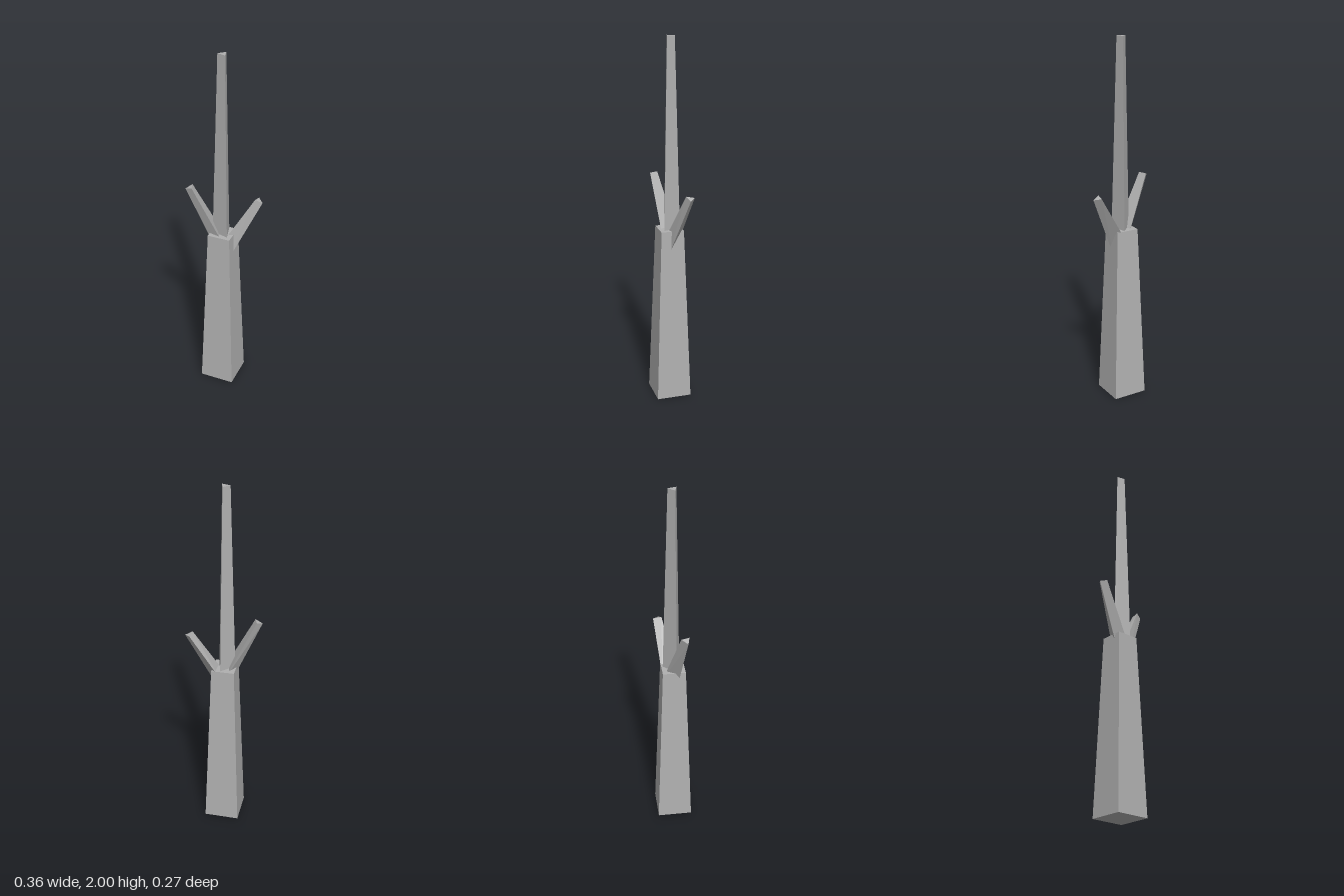
import * as THREE from 'three';
import { ConvexGeometry } from 'three/addons/geometries/ConvexGeometry.js';

const stone = new THREE.MeshStandardMaterial({ color: 0xb0b0b0 });
stone.name = 'grey';

// Tapered column with flat sides, first corner facing the front
function column(name, sides, rBottom, rTop, y0, y1) {
  const geometry = new THREE.CylinderGeometry(rTop, rBottom, y1 - y0, sides).toNonIndexed();
  geometry.computeVertexNormals();
  const mesh = new THREE.Mesh(geometry, stone);
  mesh.name = name;
  mesh.position.set(-0.004, (y0 + y1) / 2, 0);
  return mesh;
}

// Three-sided branch: each edge runs from the trunk surface to the tip,
// and is continued a little way inside the trunk
function branch(name, edges) {
  const points = [];
  for (const [from, to] of edges) {
    const root = new THREE.Vector3(...from);
    const tip = new THREE.Vector3(...to);
    points.push(tip, root.clone().lerp(tip, -0.25));
  }
  const mesh = new THREE.Mesh(new ConvexGeometry(points), stone);
  mesh.name = name;
  return mesh;
}

export function createModel() {
  const model = new THREE.Group();
  model.name = 'branchedTrunk';

  model.add(column('trunk', 4, 0.135, 0.088, 0, 0.975));
  model.add(column('spire', 3, 0.056, 0.027, 0.965, 2));

  model.add(branch('leftBranch', [
    [[0.04, 0.885, 0.055], [0.178, 1.178, 0.105]],
    [[0.07, 0.975, -0.015], [0.178, 1.187, 0.06]],
    [[0.013, 0.975, 0.035], [0.142, 1.196, 0.088]],
  ]));
  model.add(branch('rightBranch', [
    [[-0.069, 0.945, -0.025], [-0.178, 1.235, -0.097]],
    [[0, 0.975, -0.05], [-0.136, 1.25, -0.102]],
    [[-0.04, 0.975, 0.03], [-0.157, 1.25, -0.06]],
  ]));
  return model;
}
